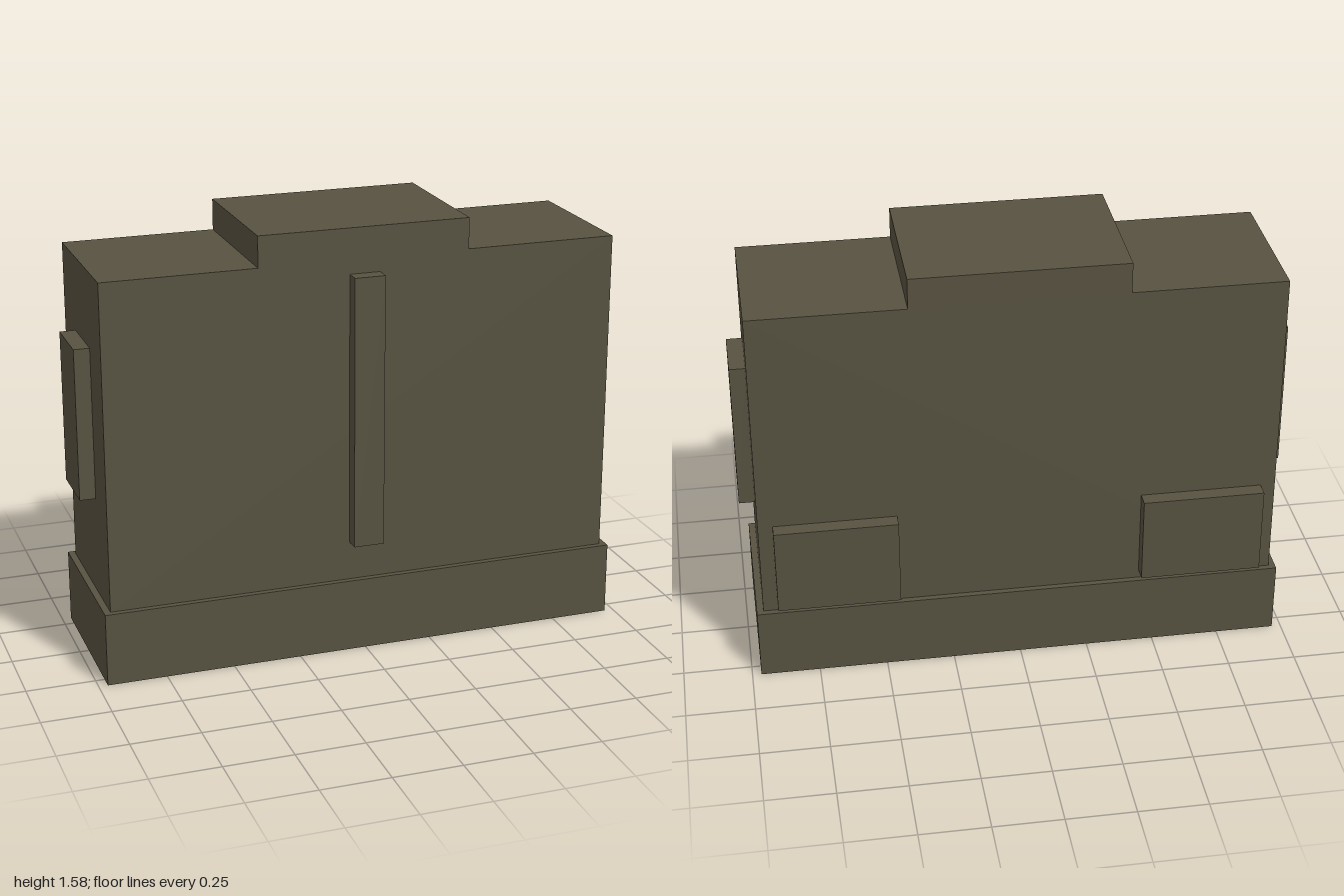
import * as THREE from 'three';

export function createModel() {
  const group = new THREE.Group();
  const olive = new THREE.MeshStandardMaterial({ color: 0x575240 });
  olive.name = 'olive';

  const add = (name, geometry) => {
    const mesh = new THREE.Mesh(geometry, olive);
    mesh.name = name;
    group.add(mesh);
  };
  // Box given by its extents on each axis
  const box = (name, [x0, x1], [y0, y1], [z0, z1]) =>
    add(name, new THREE.BoxGeometry(x1 - x0, y1 - y0, z1 - z0)
      .translate((x0 + x1) / 2, (y0 + y1) / 2, (z0 + z1) / 2));

  const bodyX = 0.943, bodyZ = 0.278, baseTop = 0.27;

  // Plinth
  box('base', [-0.967, 0.967], [0, baseTop], [-0.3, 0.3]);

  // Slab body with the raised middle of the roof
  const outline = new THREE.Shape([
    [-bodyX, baseTop], [bodyX, baseTop], [bodyX, 1.467], [0.387, 1.467],
    [0.387, 1.58], [-0.387, 1.58], [-0.387, 1.467], [-bodyX, 1.467],
  ].map(([x, y]) => new THREE.Vector2(x, y)));
  add('body', new THREE.ExtrudeGeometry(outline, { depth: 2 * bodyZ, bevelEnabled: false })
    .translate(0, 0, -bodyZ));

  // Upright rib on the front
  box('frontRib', [-0.056, 0.056], [0.415, 1.415], [bodyZ, 0.333]);

  // Side panels and rear boxes, mirrored
  for (const [side, s] of [['left', 1], ['right', -1]]) {
    const span = (a, b) => (s > 0 ? [a, b] : [-b, -a]);
    box(side + 'SidePanel', span(bodyX, 1), [0.635, 1.19], [-0.111, 0.111]);
    box(side + 'RearBox', span(0.445, 0.89), [0.303, 0.633], [-0.333, -bodyZ]);
  }
  return group;
}
